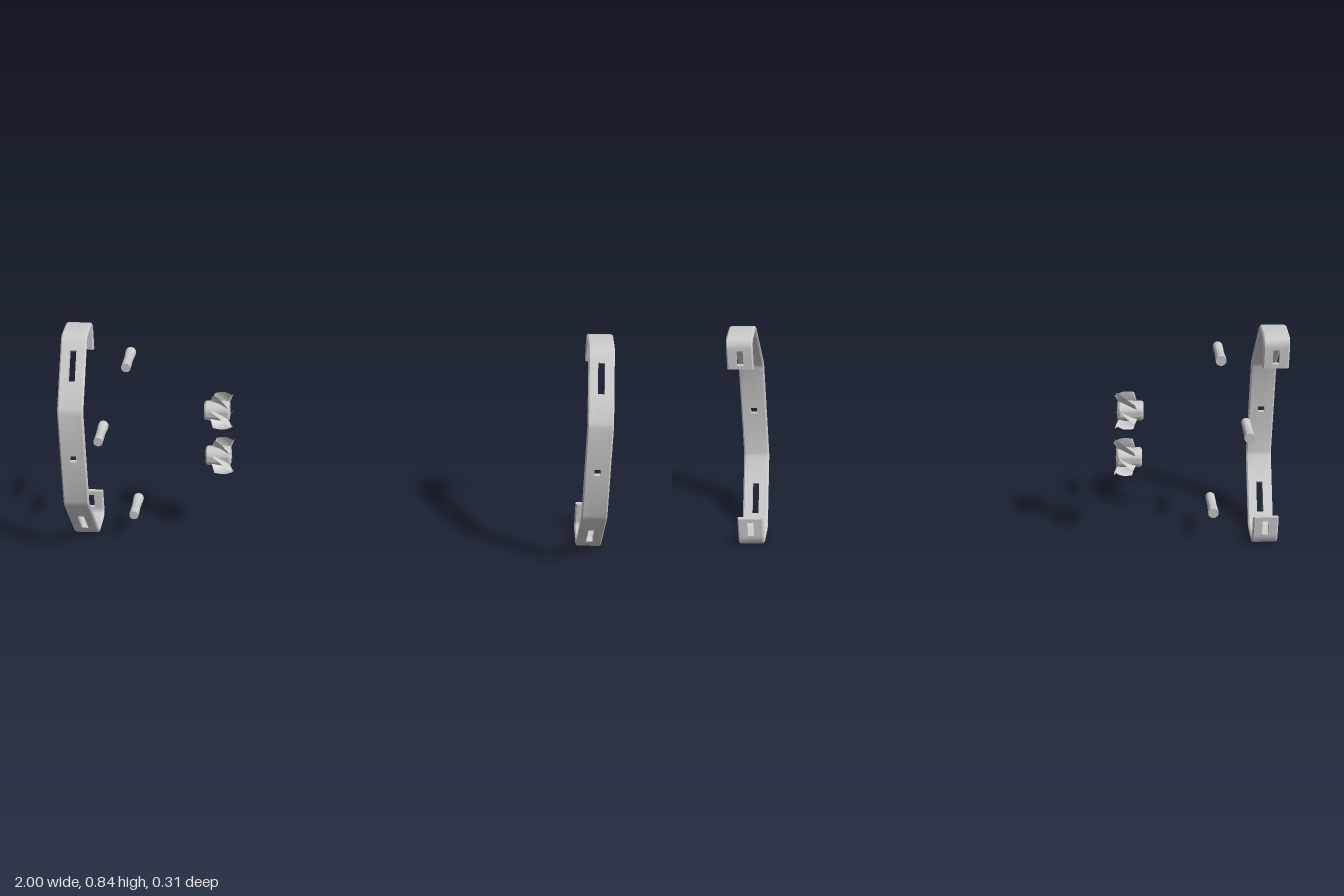
import * as THREE from 'three';
import { toCreasedNormals } from 'three/addons/utils/BufferGeometryUtils.js';
import { ParametricGeometry } from 'three/addons/geometries/ParametricGeometry.js';

const grey = new THREE.MeshStandardMaterial({ color: 0xcccccc });
const greySheet = new THREE.MeshStandardMaterial({ color: 0xcccccc, side: THREE.DoubleSide });
const HEIGHT = 0.836;

// Lower half of the bracket centreline: [z, y, slot in the segment that follows]
const half = [
  [-0.146, 0.115], [-0.146, 0.1, 1], [-0.146, 0.045], [-0.146, 0.038], [-0.143, 0.022],
  [-0.135, 0.013], [-0.12, 0.009], [-0.035, 0.009], [-0.022, 0.013], [-0.01, 0.024],
  [0.01, 0.05, 1], [0.08, 0.1405], [0.143, 0.222], [0.149, 0.24], [0.149, 0.406, 1],
];

// Bent strip made of cells; slot cells are left out and get walls around them
function bracketGeometry() {
  const path = [...half, ...half.map(([z, y]) => [z, HEIGHT - y]).reverse()]
    .map(([z, y]) => new THREE.Vector2(z, y));
  const n = path.length;
  const columns = [-0.047, -0.042, -0.012, 0.012, 0.042, 0.047];
  const thickness = [0.005, 0.009, 0.009, 0.009, 0.009, 0.005];
  const last = columns.length - 2;

  // Mitred offset direction at each station
  const offsets = path.map((p, i) => {
    const a = path[Math.max(i - 1, 0)], b = path[Math.min(i + 1, n - 1)];
    const t1 = (i > 0 ? p.clone().sub(a) : b.clone().sub(p)).normalize();
    const t2 = (i < n - 1 ? b.clone().sub(p) : t1.clone()).normalize();
    const t = t1.clone().add(t2).normalize();
    return new THREE.Vector2(t.y, -t.x).divideScalar(t.dot(t1));
  });

  const solid = (i, j) => i >= 0 && i < n - 1 && j >= 0 && j <= last
    && !(j === 2 && half[Math.min(i, n - 2 - i)][2]);
  const point = (i, j, k) => [
    columns[j],
    path[i].y + offsets[i].y * thickness[j] * k,
    path[i].x + offsets[i].x * thickness[j] * k,
  ];
  const positions = [];
  const quad = (a, b, c, d) => positions.push(...a, ...b, ...c, ...a, ...c, ...d);

  for (let i = 0; i < n - 1; i++) {
    for (let j = 0; j <= last; j++) {
      if (!solid(i, j)) continue;
      const [a, b, c, d] = [[i, j], [i, j + 1], [i + 1, j + 1], [i + 1, j]].map(([s, t]) => [point(s, t, -1), point(s, t, 1)]);
      quad(a[1], b[1], c[1], d[1]);
      quad(d[0], c[0], b[0], a[0]);
      if (!solid(i, j - 1)) quad(a[0], a[1], d[1], d[0]);
      if (!solid(i, j + 1)) quad(b[0], c[0], c[1], b[1]);
      if (!solid(i - 1, j)) quad(a[0], b[0], b[1], a[1]);
      if (!solid(i + 1, j)) quad(d[0], d[1], c[1], c[0]);
    }
  }
  const geometry = new THREE.BufferGeometry();
  geometry.setAttribute('position', new THREE.Float32BufferAttribute(positions, 3));
  return toCreasedNormals(geometry, 0.6);
}

// Turned solid from [radius, height] pairs, lowest first
function turned(profile, segments) {
  const lathe = new THREE.LatheGeometry(profile.map(([r, y]) => new THREE.Vector2(r, y)), segments);
  return toCreasedNormals(lathe, 0.6);
}

// Hub with a dished face and a ring of swept blades, axis along x
function createImpeller(hubGeometry, bladeGeometry) {
  const impeller = new THREE.Group();
  impeller.name = 'impeller';
  const hub = new THREE.Mesh(hubGeometry, grey);
  hub.name = 'hub';
  hub.rotation.z = -Math.PI / 2;
  impeller.add(hub);
  const count = 6;
  for (let i = 0; i < count; i++) {
    const blade = new THREE.Mesh(bladeGeometry, greySheet);
    blade.name = 'blade';
    blade.rotation.x = (i / count) * Math.PI * 2;
    impeller.add(blade);
  }
  return impeller;
}

export function createModel() {
  const model = new THREE.Group();
  model.name = 'bracketAndImpellerSet';

  // Pair of slotted brackets
  const strip = bracketGeometry();
  for (const side of [-1, 1]) {
    const bracket = new THREE.Mesh(strip, grey);
    bracket.name = side > 0 ? 'leftBracket' : 'rightBracket';
    bracket.position.x = side * 0.953;
    model.add(bracket);
  }

  // Stepped pins pointing forward
  const pinGeometry = turned([
    [0, -0.11], [0.0195, -0.11], [0.0195, -0.088], [0.0185, -0.086],
    [0.0165, -0.024], [0.0175, -0.022], [0.0175, 0.025], [0, 0.025],
  ], 24);
  for (const [x, y] of [[-0.763, 0.73], [-0.882, 0.42], [-0.763, 0.11]]) {
    const pin = new THREE.Mesh(pinGeometry, grey);
    pin.name = 'pin';
    pin.rotation.x = Math.PI / 2;
    pin.position.set(x, y, 0);
    model.add(pin);
  }

  // Impellers
  const hubGeometry = turned([
    [0, -0.046], [0.015, -0.046], [0.016, -0.052], [0.032, -0.052], [0.037, -0.046],
    [0.038, 0.036], [0.034, 0.041], [0.016, 0.041], [0.015, 0.036], [0, 0.036],
  ], 32);
  const bladeGeometry = new ParametricGeometry((u, v, target) => {
    const radius = 0.034 + 0.036 * u;
    const angle = 0.95 * Math.pow(v, 1.3) + 0.2 * u * u;
    const x = THREE.MathUtils.lerp(-0.03 + 0.012 * u, 0.036 + 0.014 * u, v);
    target.set(x, radius * Math.cos(angle), radius * Math.sin(angle));
  }, 6, 10);
  for (const y of [0.515, 0.325]) {
    const impeller = createImpeller(hubGeometry, bladeGeometry);
    impeller.position.set(-0.44, y, -0.07);
    model.add(impeller);
  }
  return model;
}
